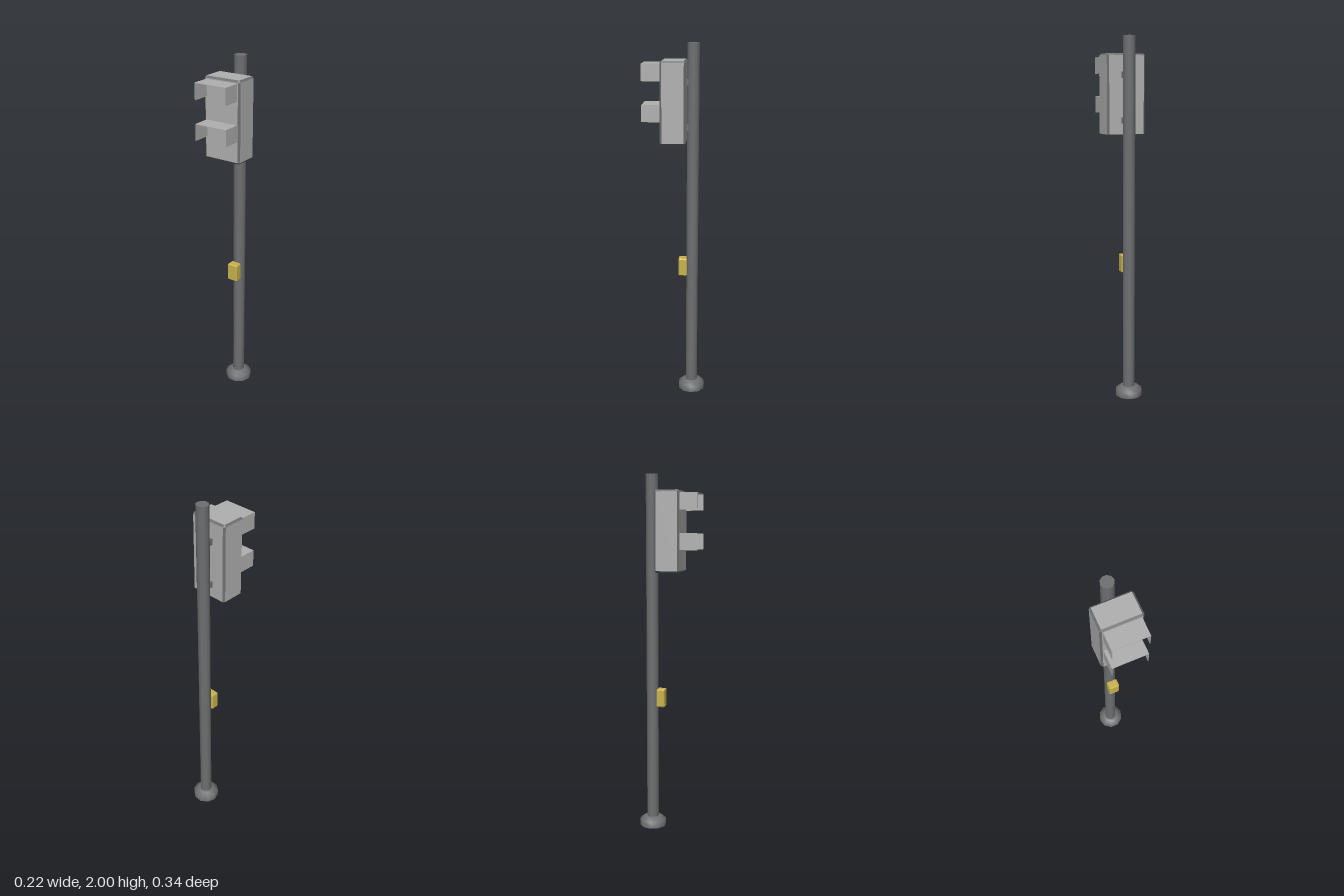
import * as THREE from 'three';
import { ConvexGeometry } from 'three/addons/geometries/ConvexGeometry.js';

const mat = (name, color, side = THREE.FrontSide) => {
  const m = new THREE.MeshStandardMaterial({ color, side });
  m.name = name;
  return m;
};

// Box with chamfered edges; group 0 = flat sides, group 1 = chamfers
function chamferBox(w, h, d, b) {
  const half = [w / 2, h / 2, d / 2], pts = [];
  for (let axis = 0; axis < 3; axis++)
    for (let i = 0; i < 8; i++) {
      const p = half.map((s, k) => (i >> k & 1 ? 1 : -1) * (k === axis ? s : s - b));
      pts.push(new THREE.Vector3(...p));
    }
  const geo = new ConvexGeometry(pts);
  const n = geo.attributes.normal;
  for (let i = 0; i < n.count; i += 3) {
    const flat = Math.max(Math.abs(n.getX(i)), Math.abs(n.getY(i)), Math.abs(n.getZ(i))) > 0.98;
    geo.addGroup(i, 3, flat ? 0 : 1);
  }
  return geo;
}

export function createModel() {
  const model = new THREE.Group();
  model.name = 'pedestrianSignal';
  const steel = mat('dark steel', 0x6e6f71);
  const steelSheet = mat('dark steel sheet', 0x6e6f71, THREE.DoubleSide);
  const housing = mat('light grey housing', 0xb0b0b0);
  const visorGrey = mat('light grey visor', 0xb0b0b0, THREE.DoubleSide);
  const yellow = mat('button yellow', 0xc9b34c);

  const add = (name, geo, material, x, y, z) => {
    const mesh = new THREE.Mesh(geo, material);
    mesh.name = name;
    mesh.position.set(x, y, z);
    model.add(mesh);
    return mesh;
  };
  const poleZ = -0.1;

  // Pole, open at the foot, with a cap on top
  add('pole', new THREE.CylinderGeometry(0.034, 0.034, 1.96, 10, 1, true, Math.PI / 2),
    steelSheet, 0, 1.02, poleZ);
  const cap = add('poleCap', new THREE.CircleGeometry(0.034, 10), steel, 0, 2, poleZ);
  cap.rotation.x = -Math.PI / 2;

  // Hollow foot collar
  const profile = [[0.076, 0], [0.076, 0.036], [0.048, 0.056], [0.033, 0.056]]
    .map(([r, y]) => new THREE.Vector2(r, y));
  add('footCollar', new THREE.LatheGeometry(profile, 10, Math.PI / 2), steelSheet, 0, 0, poleZ);

  // Signal head with dark chamfers
  add('signalHead', chamferBox(0.22, 0.44, 0.137, 0.01), [housing, steel], 0, 1.69, 0.0035);

  // Visors: thin top and two cheeks
  const visorTop = new THREE.BoxGeometry(0.19, 0.003, 0.1);
  const visorCheek = new THREE.BoxGeometry(0.003, 0.09, 0.1);
  for (const y of [1.895, 1.682]) {
    add('visorTop', visorTop, visorGrey, 0, y - 0.0015, 0.12);
    for (const s of [-1, 1])
      add('visorCheek', visorCheek, visorGrey, s * 0.0935, y - 0.045, 0.12);
  }

  // Brackets between head and pole
  for (const y of [1.797, 1.555])
    add('bracket', new THREE.BoxGeometry(0.06, 0.034, 0.02), steel, 0, y, -0.066);

  // Push button box
  add('buttonBox', chamferBox(0.062, 0.102, 0.048, 0.005), [yellow, yellow], 0, 0.761, -0.048);

  return model;
}
